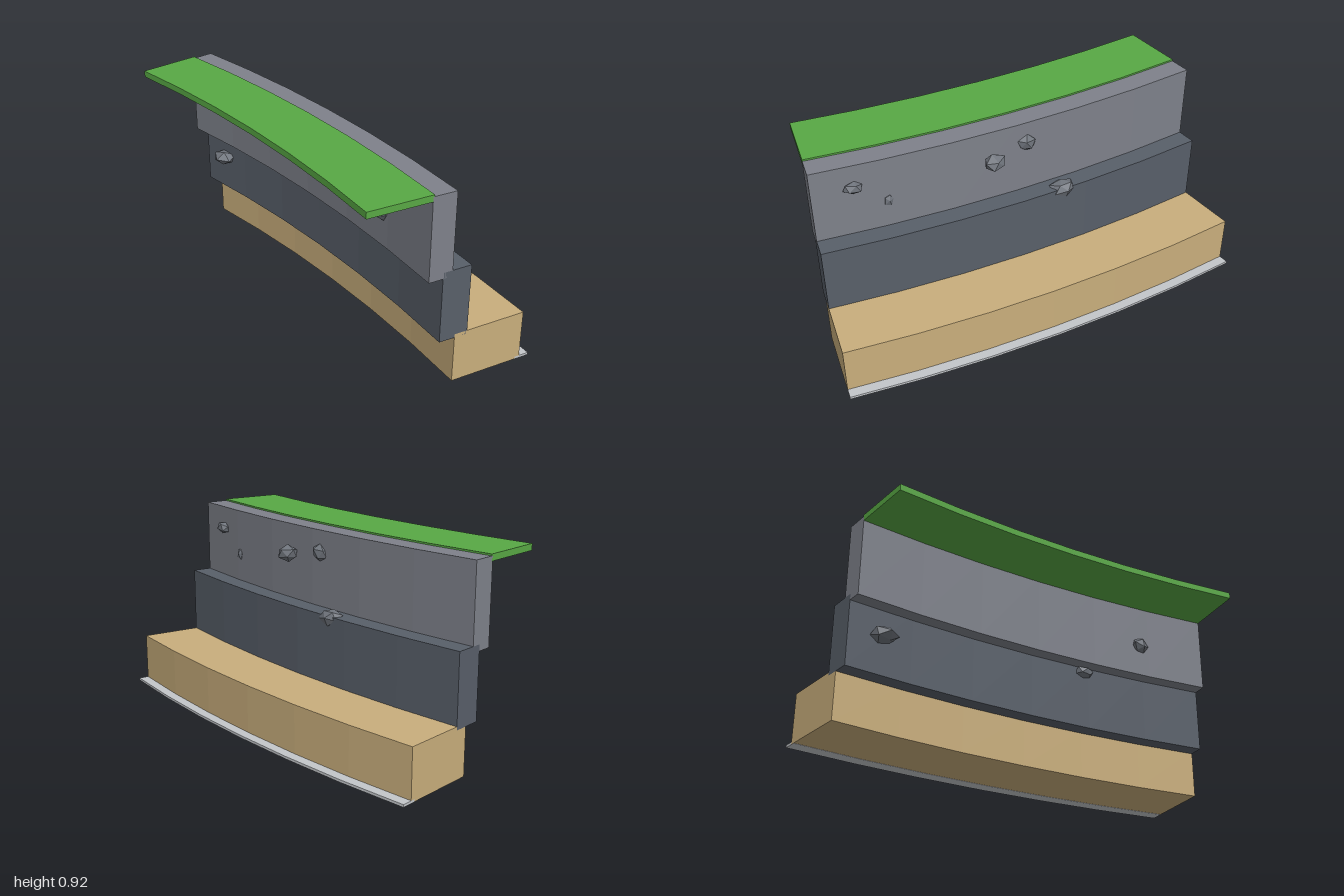
import * as THREE from 'three';

const R = 7.7;          // radius of the outermost edge
const CZ = R - 0.45;    // z of the arc's centre
const HALF = 0.1302;    // half of the swept angle

const mat = (name, color, flat = false) => {
  const m = new THREE.MeshStandardMaterial({ color });
  m.name = name;
  m.flatShading = flat;
  return m;
};

// Point on the arc whose middle lies at z = mid
const onArc = (angle, mid) => [Math.sin(angle) * (CZ - mid), CZ - Math.cos(angle) * (CZ - mid)];

// Box bent round the arc; zBack and zFront are measured at x = 0
function bentBlock(name, material, y0, y1, zBack, zFront) {
  const box = new THREE.BoxGeometry(2, y1 - y0, zFront - zBack, 6, 1, 1);
  box.translate(0, (y0 + y1) / 2, (zBack + zFront) / 2);
  const p = box.attributes.position;
  for (let i = 0; i < p.count; i++) {
    const [x, z] = onArc(p.getX(i) * HALF, p.getZ(i));
    p.setXYZ(i, x, p.getY(i), z);
  }
  const geo = box.toNonIndexed();
  geo.computeVertexNormals();
  const mesh = new THREE.Mesh(geo, material);
  mesh.name = name;
  return mesh;
}

// Irregular stone: an icosahedron with each corner pushed in or out
function stone(material, seed, [x, y, z], [sx, sy, sz]) {
  const geo = new THREE.IcosahedronGeometry(1, 0);
  const p = geo.attributes.position;
  const v = new THREE.Vector3();
  for (let i = 0; i < p.count; i++) {
    v.fromBufferAttribute(p, i);
    const key = Math.round(v.x * 10) * 3.1 + Math.round(v.y * 10) * 5.7 + Math.round(v.z * 10) * 9.3;
    v.multiplyScalar(1 + 0.15 * Math.sin(key + seed * 2.3));
    p.setXYZ(i, v.x, v.y, v.z);
  }
  geo.rotateY(seed * 1.3);
  geo.rotateZ(seed * 0.7);
  geo.scale(sx, sy, sz);
  geo.computeVertexNormals();
  const mesh = new THREE.Mesh(geo, material);
  mesh.position.set(x, y, z);
  mesh.name = 'stone' + seed;
  return mesh;
}

export function createModel() {
  const sand = mat('sand', 0xc9ae7c);
  const darkRock = mat('darkRock', 0x585f69);
  const greyRock = mat('greyRock', 0x7e818a);
  const grass = mat('grass', 0x58a844);
  const foam = mat('foam', 0xc3c6ca);
  const stoneGrey = mat('stoneGrey', 0x70757d, true);

  const model = new THREE.Group();
  model.name = 'curvedCliff';

  // Stepped layers from the ground up
  model.add(
    bentBlock('shoreStrip', foam, 0, 0.012, -0.45, -0.38),
    bentBlock('beachLedge', sand, 0.001, 0.238, -0.402, -0.05),
    bentBlock('lowerCliff', darkRock, 0.222, 0.556, -0.112, 0.025),
    bentBlock('upperCliff', greyRock, 0.527, 0.912, -0.02, 0.092),
    bentBlock('grassTop', grass, 0.89, 0.92, 0.085, 0.385),
  );

  // Stones stuck in the cliff faces: position, radii
  const stones = [
    [[-0.775, 0.4, 0.085], [0.065, 0.038, 0.052]],
    [[0.29, 0.503, 0.032], [0.047, 0.033, 0.04]],
    [[0.57, 0.68, 0.112], [0.046, 0.04, 0.032]],
    [[-0.21, 0.55, -0.085], [0.063, 0.04, 0.05]],
    [[0.13, 0.78, -0.06], [0.055, 0.038, 0.05]],
    [[-0.05, 0.805, -0.015], [0.05, 0.04, 0.032]],
    [[0.76, 0.805, 0.015], [0.045, 0.03, 0.03]],
    [[0.61, 0.695, 0.012], [0.026, 0.032, 0.02]],
  ];
  const group = new THREE.Group();
  group.name = 'stones';
  stones.forEach(([pos, size], i) => group.add(stone(stoneGrey, i + 1, pos, size)));
  model.add(group);
  return model;
}
